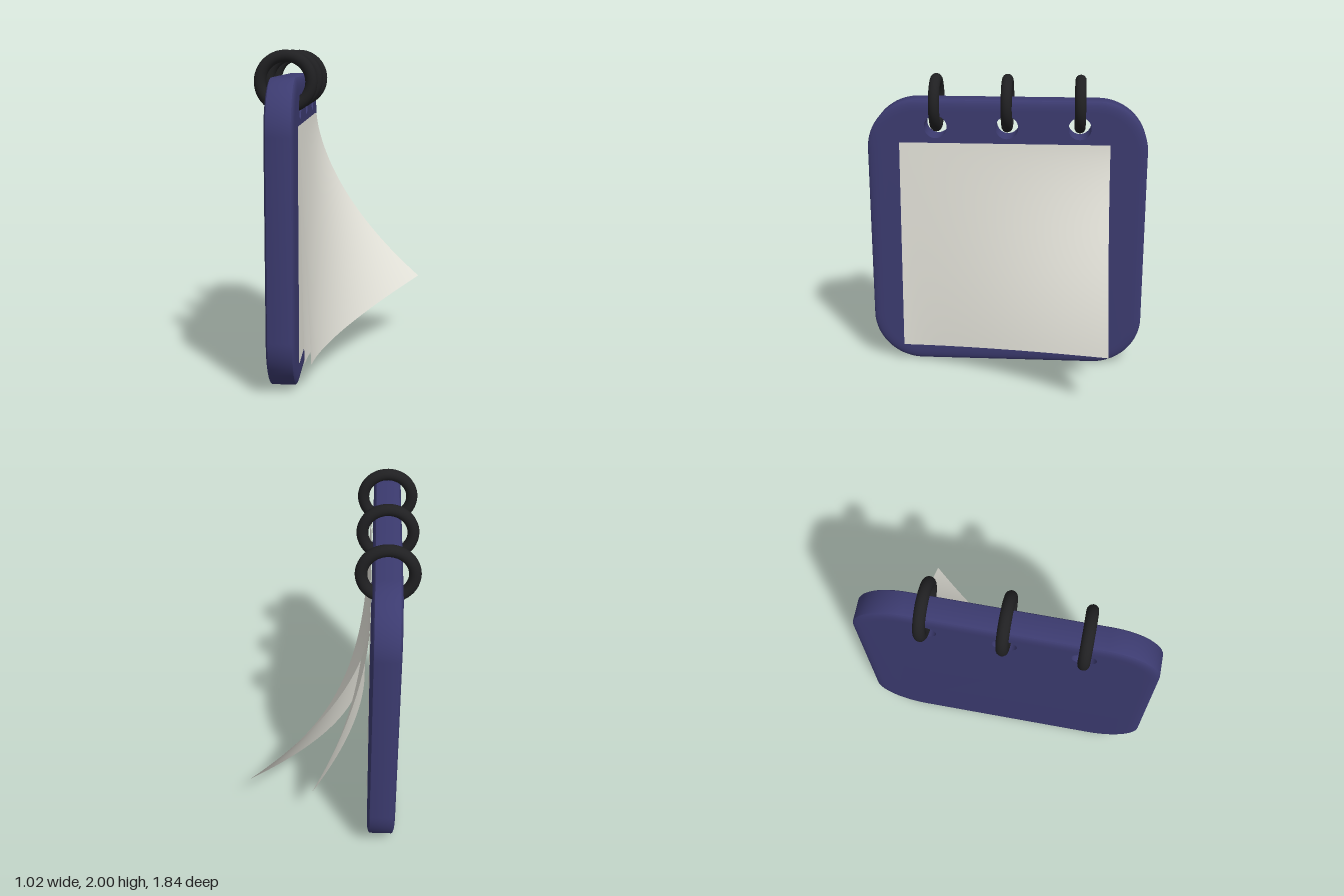
import * as THREE from 'three';
import { toCreasedNormals } from 'three/addons/utils/BufferGeometryUtils.js';

const BOARD_X = -0.323;
const HOLES = [0.467, 0, -0.475];
const HOLE_Y = 1.665, HOLE_R = 0.075;

function material(color, side = THREE.FrontSide) {
  const m = new THREE.MeshStandardMaterial({ side });
  m.color.set(color);
  return m;
}

// Rounded square with three punched holes and a shallow elliptical rim
function boardGeometry() {
  const half = 0.92, rim = 0.07, soft = 0.02, thick = 0.174;
  const a = half - rim, r = 0.26, cy = half;
  const s = new THREE.Shape();
  s.absarc(a - r, cy - a + r, r, -Math.PI / 2, 0);
  s.absarc(a - r, cy + a - r, r, 0, Math.PI / 2);
  s.absarc(-a + r, cy + a - r, r, Math.PI / 2, Math.PI);
  s.absarc(-a + r, cy - a + r, r, Math.PI, Math.PI * 1.5);
  s.closePath();
  for (const z of HOLES) {
    s.holes.push(new THREE.Path().absarc(-z, HOLE_Y, HOLE_R, 0, Math.PI * 2, true));
  }
  const g = new THREE.ExtrudeGeometry(s, {
    depth: thick - 2 * soft, bevelThickness: soft, bevelSize: rim, bevelSegments: 6, curveSegments: 16,
  });
  // Keep the hole walls straight
  const p = g.attributes.position;
  for (let i = 0; i < p.count; i++) {
    for (const z of HOLES) {
      const dx = p.getX(i) + z, dy = p.getY(i) - HOLE_Y, d = Math.hypot(dx, dy);
      if (d < HOLE_R) {
        p.setXY(i, -z + dx / d * HOLE_R, HOLE_Y + dy / d * HOLE_R);
      }
    }
  }
  g.translate(0, 0, -thick / 2 + soft);
  g.rotateY(Math.PI / 2);
  return toCreasedNormals(g, Math.PI / 6);
}

// Sheet hanging from its top edge, one lower corner lifted away by curl / rise
function sheetGeometry({ top, bottom, curl, rise, low }) {
  const g = new THREE.PlaneGeometry(1, 1, 40, 40);
  const p = g.attributes.position;
  for (let i = 0; i < p.count; i++) {
    const u = p.getX(i) + 0.5, v = 0.5 - p.getY(i);
    const lift = Math.pow(u, 1.66) * Math.pow(v, 1.6);
    p.setXYZ(i,
      top + (bottom - top) * v + curl * lift,
      1.56 + (low - 1.56) * v + rise * lift,
      0.706 - 1.381 * u);
  }
  g.computeVertexNormals();
  return g;
}

export function createModel() {
  const group = new THREE.Group();
  const add = (name, geometry, mat) => {
    const mesh = new THREE.Mesh(geometry, mat);
    mesh.name = name;
    group.add(mesh);
    return mesh;
  };

  add('backBoard', boardGeometry(), material(0x3c3b70)).position.x = BOARD_X;

  // Binding rings
  const ringMat = material(0x202022);
  HOLES.forEach((z, i) => {
    add('bindingRing' + (i + 1), new THREE.TorusGeometry(0.154, 0.036, 16, 48), ringMat)
      .position.set(BOARD_X, 1.81, z);
  });

  // Paper sheets, from flat to strongly curled
  const paper = material(0xe2e1d8, THREE.DoubleSide);
  [
    { top: -0.23, bottom: -0.23, curl: 0, rise: 0, low: 0.147 },
    { top: -0.226, bottom: -0.198, curl: 0.318, rise: 0.145, low: 0.145 },
    { top: -0.222, bottom: -0.158, curl: 0.665, rise: 0.255, low: 0.139 },
  ].forEach((sheet, i) => add('paperSheet' + (i + 1), sheetGeometry(sheet), paper));

  return group;
}
